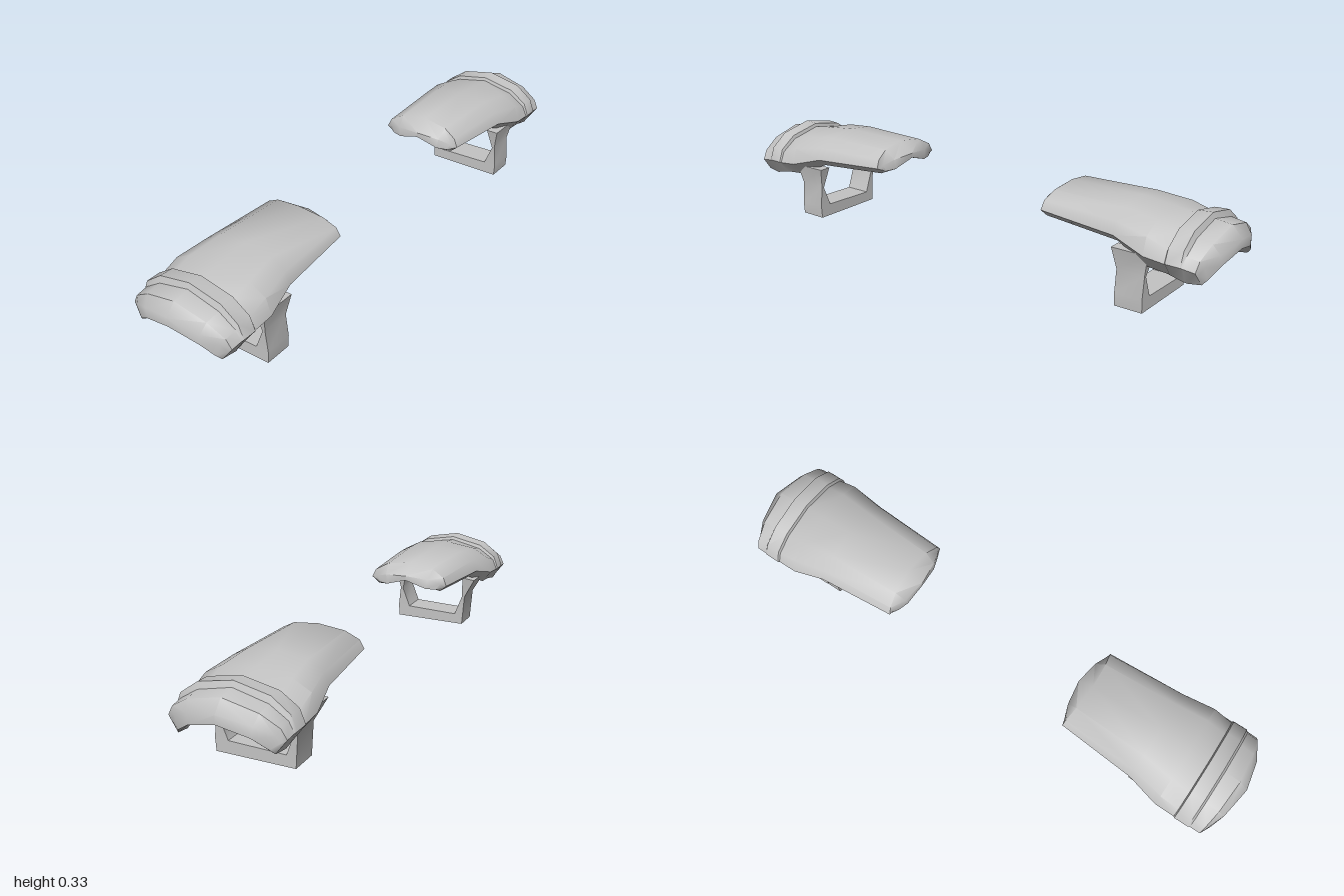
import * as THREE from 'three';
import { toCreasedNormals } from 'three/addons/utils/BufferGeometryUtils.js';

// Cross-sections of the guard, from the inner end to the flared outer end:
// x, bow (shift of the sides), half width, crown, shoulder, haunch, side, hem, roof
const STATIONS = [
  [0.33, 0.035, 0.145, 0.285, 0.277, 0.262, 0.25, 0.24, 0.268],
  [0.385, -0.02, 0.156, 0.325, 0.312, 0.285, 0.255, 0.23, 0.262],
  [0.65, 0, 0.176, 0.327, 0.314, 0.283, 0.24, 0.213, 0.265],
  [0.77, 0, 0.2, 0.315, 0.3, 0.266, 0.207, 0.162, 0.25],
  [0.843, 0, 0.199, 0.305, 0.28, 0.24, 0.2, 0.155, 0.235],
  [0.847, 0, 0.203, 0.317, 0.293, 0.25, 0.202, 0.155, 0.235],
  [0.898, 0, 0.203, 0.321, 0.296, 0.25, 0.202, 0.143, 0.228],
  [0.906, 0, 0.199, 0.302, 0.274, 0.234, 0.199, 0.141, 0.226],
  [0.965, -0.02, 0.198, 0.295, 0.266, 0.228, 0.195, 0.148, 0.22],
  [1.0, -0.05, 0.185, 0.255, 0.233, 0.207, 0.185, 0.165, 0.225],
];
const RING = 12;

// One closed ring: over the outside, round the hem and back under the roof
function ring([x, bow, w, crown, shoulder, haunch, side, hem, roof]) {
  const half = [[0, crown], [0.6, shoulder], [0.91, haunch], [1, side],
    [0.82, hem], [0.56, roof - 0.027], [0, roof]];
  const mirrored = half.slice(1, 6).reverse().map(([z, y]) => [-z, y]);
  return [...half, ...mirrored].map(([z, y]) => [x + bow * z * z, y, z * w]);
}

function guardGeometry(side) {
  const positions = STATIONS.flatMap(ring).flatMap(([x, y, z]) => [x * side, y, z]);
  const index = [];
  const tri = (a, b, c) => (side > 0 ? index.push(a, b, c) : index.push(a, c, b));
  for (let s = 0; s < STATIONS.length - 1; s++) {
    for (let i = 0; i < RING; i++) {
      const a = s * RING + i, b = s * RING + (i + 1) % RING;
      tri(a, b, a + RING);
      tri(b, b + RING, a + RING);
    }
  }
  // Close both ends between the outer arc and the roof
  const last = (STATIONS.length - 1) * RING;
  const mirror = (i) => (RING - i) % RING;
  for (const [a, b, c] of [[0, 1, 5], [0, 5, 6], [1, 2, 5], [2, 4, 5], [2, 3, 4]]) {
    tri(last + a, last + b, last + c);
    tri(last + mirror(a), last + mirror(c), last + mirror(b));
    tri(a, c, b);
    tri(mirror(a), mirror(b), mirror(c));
  }
  const geometry = new THREE.BufferGeometry();
  geometry.setAttribute('position', new THREE.Float32BufferAttribute(positions, 3));
  geometry.setIndex(index);
  return toCreasedNormals(geometry, 0.8);
}

// U-shaped grip loop, drawn in z and y, then extruded along x
function strapGeometry(side) {
  const outline = [[0.165, 0], [0.168, 0.045], [0.16, 0.125], [0.175, 0.2], [0.13, 0.2],
    [0.15, 0.12], [0.12, 0.045], [-0.085, 0.04], [-0.115, 0.12], [-0.12, 0.205],
    [-0.17, 0.2], [-0.126, 0.12], [-0.117, 0]];
  const shape = new THREE.Shape(outline.map(([z, y]) => new THREE.Vector2(z, y)));
  const geometry = new THREE.ExtrudeGeometry(shape, { depth: 0.1, bevelEnabled: false });
  geometry.rotateY(-Math.PI / 2).translate(0.05, 0, 0);
  // Widen the loop where it meets the guard
  const p = geometry.attributes.position;
  for (let i = 0; i < p.count; i++) {
    const spread = 1 + 0.3 * THREE.MathUtils.smoothstep(p.getY(i), 0.12, 0.2);
    p.setX(i, p.getX(i) * spread + side * 0.71);
  }
  return toCreasedNormals(geometry, 0.8);
}

export function createModel() {
  const model = new THREE.Group();
  const metal = new THREE.MeshStandardMaterial({ color: 0xc4c4c4 });
  metal.name = 'light grey';
  for (const [name, side] of [['left', 1], ['right', -1]]) {
    const pair = new THREE.Group();
    pair.name = name + 'ArmGuard';
    const shell = new THREE.Mesh(guardGeometry(side), metal);
    shell.name = 'guardShell';
    const strap = new THREE.Mesh(strapGeometry(side), metal);
    strap.name = 'gripLoop';
    pair.add(shell, strap);
    model.add(pair);
  }
  return model;
}
